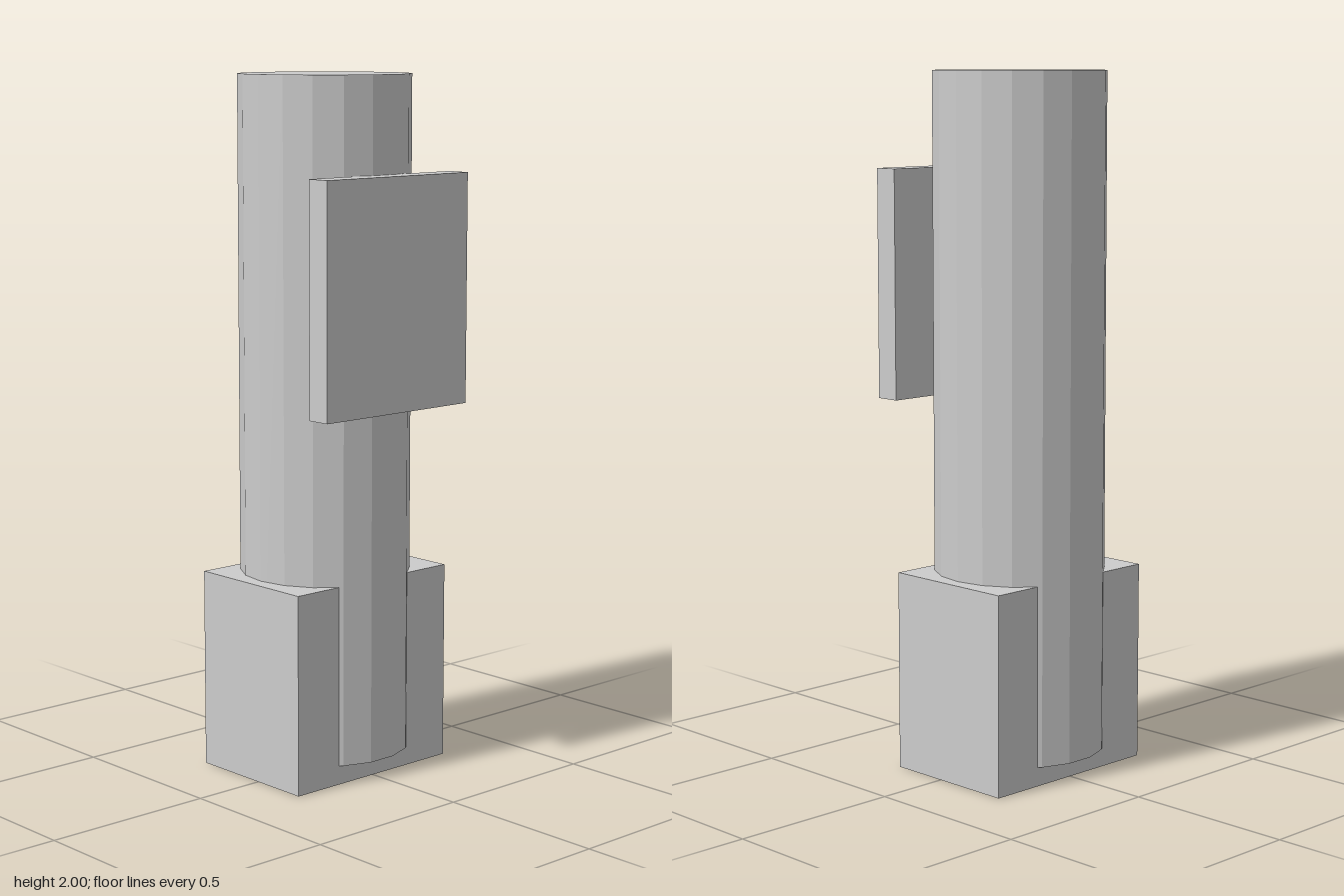
import * as THREE from 'three';

export function createModel() {
  const model = new THREE.Group();
  const grey = new THREE.MeshStandardMaterial({ color: 0xcccccc });
  grey.name = 'light grey';

  const add = (name, geometry, x, y, z) => {
    const mesh = new THREE.Mesh(geometry, grey);
    mesh.name = name;
    mesh.position.set(x, y, z);
    model.add(mesh);
  };

  // Block that holds the foot of the column
  add('base', new THREE.BoxGeometry(0.573, 0.577, 0.409), 0, 0.2885, -0.031);

  // 18-sided column with corners on the x axis, bulging out of the base front and back
  const column = new THREE.CylinderGeometry(0.246, 0.246, 1.945, 18)
    .rotateY(Math.PI / 18)
    .toNonIndexed();
  column.computeVertexNormals(); // faceted sides
  add('column', column, 0, 1.0275, -0.031);

  // Flat plate on the front of the column
  add('frontPlate', new THREE.BoxGeometry(0.534, 0.656, 0.072), 0, 1.398, 0.236);

  return model;
}
